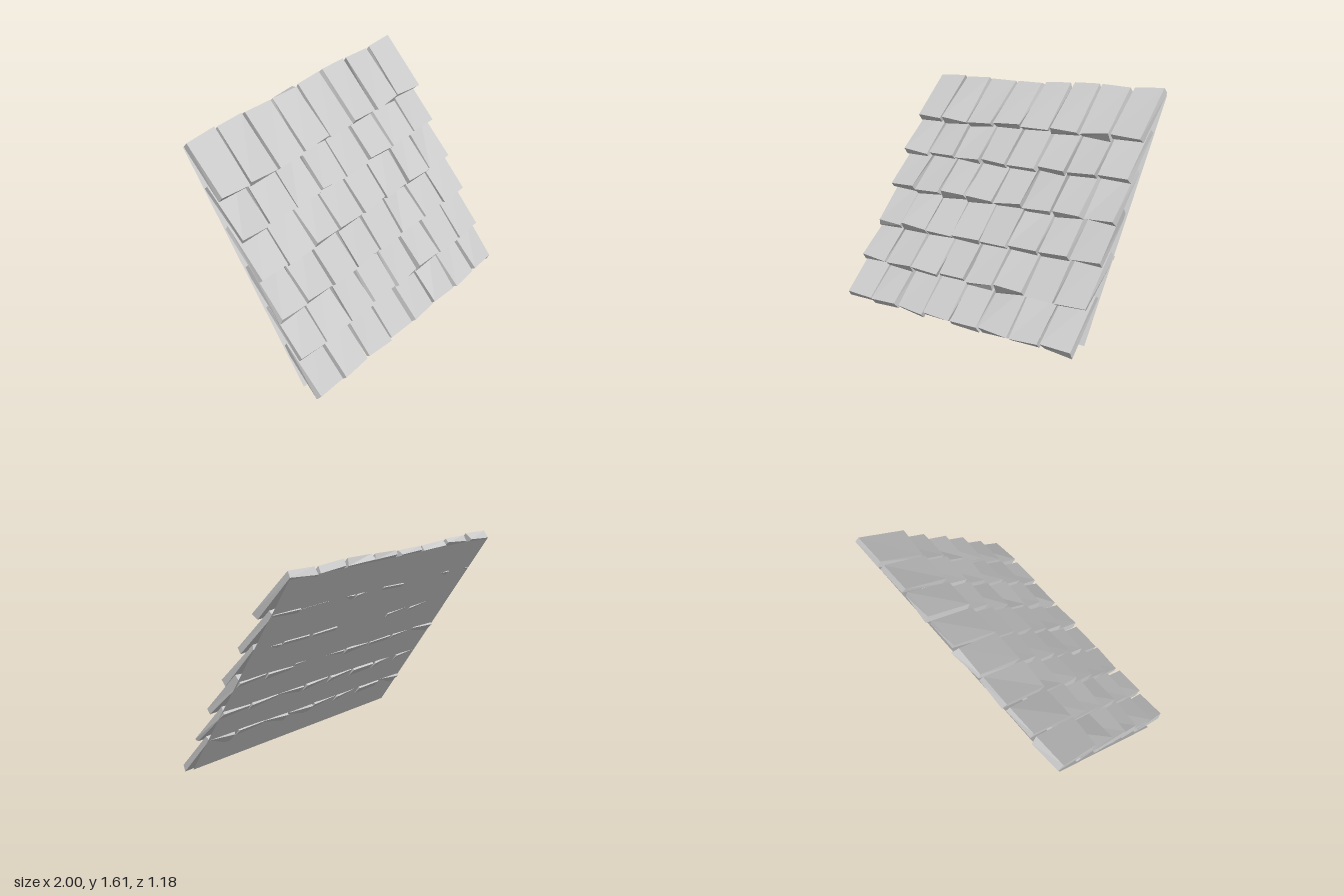
import * as THREE from 'three';

const COLS = 8, ROWS = 6, PITCH = 0.25;
const TILE = { width: 0.228, length: 0.43, thickness: 0.047 };

// Small seeded generator giving values in -1..1
function makeJitter(seed) {
  let s = seed;
  return (amount) => {
    s = (s * 16807) % 2147483647;
    return ((s / 2147483647) * 2 - 1) * amount;
  };
}

// A slab whose eight corners are each nudged a little
function tileGeometry(jitter) {
  const geo = new THREE.BoxGeometry(TILE.width, TILE.length, TILE.thickness);
  const nudges = Array.from({ length: 8 }, () => [jitter(0.009), jitter(0.013), jitter(0.012)]);
  const p = geo.attributes.position;
  for (let i = 0; i < p.count; i++) {
    const x = p.getX(i), y = p.getY(i), z = p.getZ(i);
    const n = nudges[(x > 0 ? 1 : 0) + (y > 0 ? 2 : 0) + (z > 0 ? 4 : 0)];
    p.setXYZ(i, x + n[0], y + n[1], z + n[2]);
  }
  geo.computeVertexNormals();
  return geo;
}

export function createModel() {
  const model = new THREE.Group();
  model.name = 'roofPanel';
  const jitter = makeJitter(4711);
  const tileMaterial = new THREE.MeshStandardMaterial({ color: 0xcccccc, flatShading: true });
  const sheetMaterial = new THREE.MeshStandardMaterial({ color: 0xcccccc, side: THREE.DoubleSide });

  // Thin sloping backing sheet
  const sheet = new THREE.Mesh(new THREE.PlaneGeometry(2, Math.hypot(1, 1.5)), sheetMaterial);
  sheet.name = 'backingSheet';
  sheet.rotation.x = -Math.atan2(1, 1.5);
  sheet.position.set(0, 0.82, -0.08);
  model.add(sheet);

  // Overlapping rows of tiles, each lying flatter than the sheet
  for (let r = 0; r < ROWS; r++) {
    const row = new THREE.Group();
    row.name = `tileRow${r + 1}`;
    row.position.set(0, 0.195 + r * 0.25, 0.402 - r * 0.163);
    row.rotation.x = -Math.PI / 4;
    for (let c = 0; c < COLS; c++) {
      const tile = new THREE.Mesh(tileGeometry(jitter), tileMaterial);
      tile.name = 'tile';
      tile.position.x = (c - (COLS - 1) / 2) * PITCH;
      row.add(tile);
    }
    model.add(row);
  }
  return model;
}
